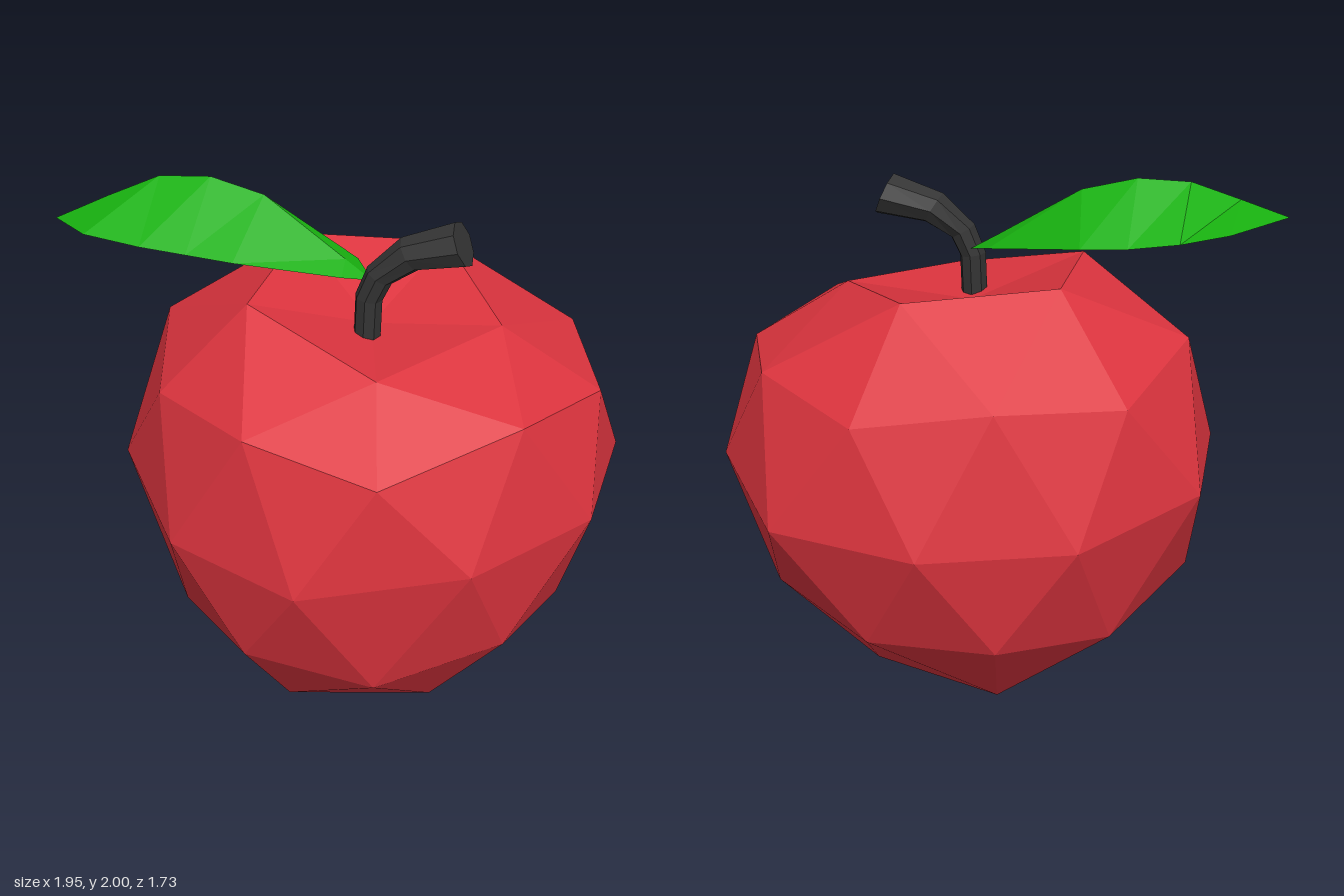
import * as THREE from 'three';

const paint = (color, side = THREE.FrontSide) =>
  new THREE.MeshStandardMaterial({ color, flatShading: true, side });

function meshFrom(name, points, index, material) {
  const geo = new THREE.BufferGeometry();
  geo.setAttribute('position', new THREE.Float32BufferAttribute(points.flat(), 3));
  geo.setIndex(index.flat());
  const flat = geo.toNonIndexed();
  flat.computeVertexNormals();
  const mesh = new THREE.Mesh(flat, material);
  mesh.name = name;
  return mesh;
}

// Faceted fruit: an icosphere laid out ring by ring, sunk at the top.
function createFruit() {
  const points = [];
  const add = (x, y, z) => points.push([x, y, z]) - 1;
  // Returns a lookup from a wrapped ring position to its vertex number.
  const ring = (radius, startDeg, heights, cx = 0.12, cz = 0) => {
    const n = heights.length;
    const ids = heights.map((y, i) => {
      const a = THREE.MathUtils.degToRad(startDeg + (i * 360) / n);
      let x = cx + radius * Math.cos(a);
      let z = cz + radius * Math.sin(a);
      // uneven swelling of the two sides
      if (x < -0.55) x -= 0.05;
      if (x > 0.6 && y > 0.9) { x += 0.03; z -= 0.045; }
      return add(x, y, z);
    });
    return (i) => ids[(i + n) % n];
  };

  const top = add(0.12, 1.53, 0.03);
  const A = ring(0.455, 0, [1.58, 1.54, 1.66, 1.69, 1.66]);
  const B = ring(0.775, 0, [1.365, 1.33, 1.37, 1.35, 1.33]);
  const C = ring(0.735, 36, [1.43, 1.4, 1.45, 1.4, 1.395]);
  const E = ring(0.865, 18, [1.01, 1, 0.93, 0.93, 0.97, 0.97, 0.93, 0.93, 0.93, 1]);
  const D = ring(0.77, 36, [0.58, 0.53, 0.55, 0.53, 0.57]);
  const F = ring(0.73, 0, [0.5, 0.47, 0.46, 0.46, 0.5]);
  const G = ring(0.45, 36, [0.13, 0.13, 0.13, 0.13, 0.13], 0.085, 0.035);
  const bottom = add(0.055, 0, 0.055);

  const faces = [];
  for (let k = 0; k < 5; k++) {
    const e0 = E(2 * k), e1 = E(2 * k + 1), ePrev = E(2 * k - 1);
    faces.push(
      // hollow and shoulder
      [top, A(k + 1), A(k)], [A(k + 1), C(k), A(k)],
      [A(k), C(k), B(k)], [A(k + 1), B(k + 1), C(k)],
      // upper side
      [B(k), e0, ePrev], [B(k), C(k), e0], [C(k), e1, e0], [C(k), B(k + 1), e1],
      // lower side
      [e0, e1, D(k)], [ePrev, e0, F(k)], [e0, D(k), F(k)], [ePrev, F(k), D(k - 1)],
      // underside
      [F(k), D(k), G(k)], [D(k - 1), F(k), G(k - 1)],
      [F(k), G(k), G(k - 1)], [G(k - 1), G(k), bottom]
    );
  }
  return meshFrom('fruit', points, faces, paint(0xdc343e));
}

// Stem: an eight-sided cylinder bent along stations of x, y, z, radius, lean.
function createStem() {
  const stations = [
    [0.13, 1.48, 0.12, 0.048, 0],
    [0.135, 1.675, 0.115, 0.048, 8],
    [0.17, 1.76, 0.11, 0.05, 30],
    [0.27, 1.845, 0.09, 0.063, 58],
    [0.442, 1.893, 0.068, 0.08, 66],
  ];
  const last = stations.length - 1;
  const geo = new THREE.CylinderGeometry(1, 1, 1, 8, last);
  const pos = geo.attributes.position;
  for (let i = 0; i < pos.count; i++) {
    const [x, y, z, r, lean] = stations[Math.round((pos.getY(i) + 0.5) * last)];
    const a = THREE.MathUtils.degToRad(lean);
    const across = pos.getX(i) * r;
    pos.setXYZ(i, x + across * Math.cos(a), y - across * Math.sin(a), z + pos.getZ(i) * r);
  }
  geo.computeVertexNormals();
  const mesh = new THREE.Mesh(geo, paint(0x333333));
  mesh.name = 'stem';
  return mesh;
}

// Leaf: cross-sections of back edge, raised midrib and front edge.
function createLeaf() {
  const sections = [
    [[-0.98, 1.845, 0.2], [-0.98, 1.845, 0.2], [-0.98, 1.845, 0.2]],
    [[-0.79, 1.86, -0.12], [-0.81, 1.92, 0.125], [-0.81, 1.86, 0.325]],
    [[-0.63, 1.84, -0.19], [-0.64, 1.99, 0.06], [-0.61, 1.84, 0.32]],
    [[-0.46, 1.82, -0.21], [-0.46, 2.0, 0.035], [-0.45, 1.825, 0.3]],
    [[-0.3, 1.81, -0.21], [-0.27, 1.955, 0.025], [-0.29, 1.81, 0.28]],
    [[0.05, 1.74, -0.03], [0.03, 1.77, 0.05], [0.04, 1.735, 0.125]],
    [[0.13, 1.71, 0.06], [0.13, 1.71, 0.06], [0.13, 1.71, 0.06]],
  ];
  const faces = [];
  for (let s = 0; s < sections.length - 1; s++) {
    for (let j = 0; j < 2; j++) {
      const a = s * 3 + j, b = a + 3;
      // skip the collapsed triangles at the two tips
      if (s > 0) faces.push([a, a + 1, b]);
      if (s < sections.length - 2) faces.push([a + 1, b + 1, b]);
      if (s === sections.length - 2) continue;
    }
  }
  return meshFrom('leaf', sections.flat(), faces, paint(0x18b010, THREE.DoubleSide));
}

export function createModel() {
  const model = new THREE.Group();
  model.name = 'apple';
  model.add(createFruit(), createStem(), createLeaf());
  return model;
}
